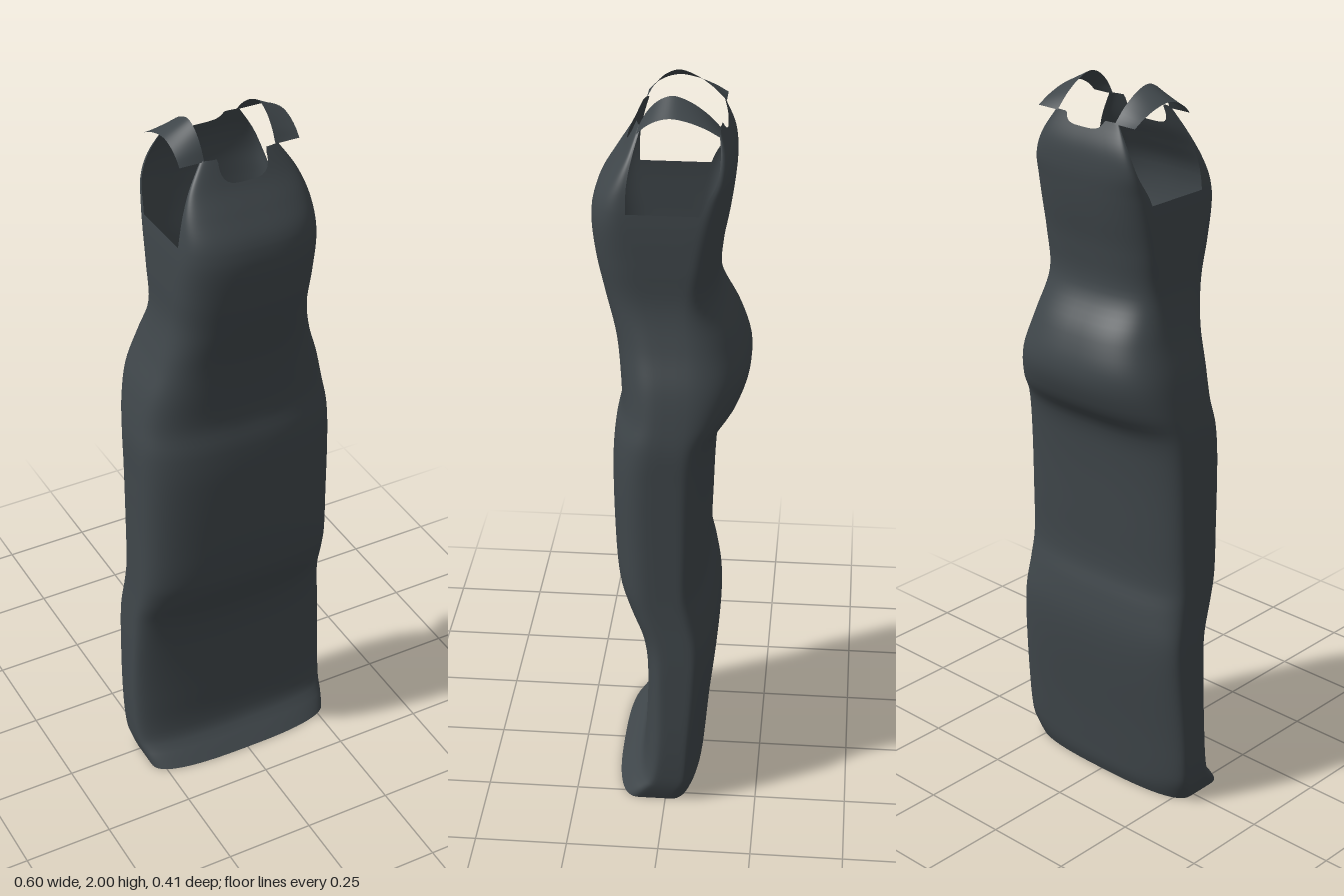
import * as THREE from 'three';

// Body sections: y, half width, front z, side front z, side back z, back z
const ROWS = [
  [0.00, 0.280, 0.142, 0.07, -0.01, -0.078],
  [0.03, 0.290, 0.115, 0.05, -0.02, -0.088],
  [0.07, 0.298, 0.080, 0.02, -0.04, -0.092],
  [0.20, 0.302, 0.066, 0.00, -0.05, -0.104],
  [0.40, 0.296, 0.063, 0.00, -0.06, -0.126],
  [0.50, 0.291, 0.080, 0.00, -0.06, -0.129],
  [0.59, 0.286, 0.118, 0.02, -0.04, -0.117],
  [0.66, 0.284, 0.141, 0.03, -0.03, -0.102],
  [0.80, 0.282, 0.152, 0.03, -0.03, -0.104],
  [1.00, 0.281, 0.155, 0.03, -0.03, -0.114],
  [1.10, 0.280, 0.147, 0.02, -0.03, -0.132],
  [1.17, 0.270, 0.132, 0.01, -0.03, -0.180],
  [1.26, 0.250, 0.135, 0.01, -0.03, -0.206],
  [1.36, 0.217, 0.147, 0.02, -0.03, -0.180],
  [1.47, 0.192, 0.175, 0.04, -0.03, -0.125],
  [1.58, 0.190, 0.198, 0.07, -0.05, -0.128],
  [1.68, 0.188, 0.206, 0.10, -0.07, -0.146],
  [1.74, 0.183, 0.193, 0.105, -0.09, -0.155],
  [1.80, 0.171, 0.157, 0.102, -0.12, -0.160],
  [1.86, 0.147, 0.118, 0.090, -0.128, -0.154],
  [1.93, 0.102, 0.085, 0.070, -0.120, -0.125],
];
const ARMHOLE = 1.72;

// Smooth interpolation of the section table at height y
function section(y) {
  let i = 0;
  while (i < ROWS.length - 2 && y > ROWS[i + 1][0]) i++;
  const a = ROWS[i], b = ROWS[i + 1];
  const p = ROWS[Math.max(i - 1, 0)], q = ROWS[Math.min(i + 2, ROWS.length - 1)];
  const h = b[0] - a[0], t = (y - a[0]) / h, t2 = t * t, t3 = t2 * t;
  return a.map((v, k) => {
    const m0 = (b[k] - p[k]) / (b[0] - p[0]) * h;
    const m1 = (q[k] - a[k]) / (q[0] - a[0]) * h;
    return (2 * t3 - 3 * t2 + 1) * v + (t3 - 2 * t2 + t) * m0 + (3 * t2 - 2 * t3) * b[k] + (t3 - t2) * m1;
  });
}

// Grid surface from a point rule; keep(i, j) tells which cells exist
function surface(cols, rows, closed, point, keep = () => true) {
  const pos = [], index = [], stride = closed ? cols : cols + 1;
  for (let j = 0; j <= rows; j++)
    for (let i = 0; i < stride; i++) pos.push(...point(i, j));
  for (let j = 0; j < rows; j++)
    for (let i = 0; i < cols; i++) {
      if (!keep(i, j)) continue;
      const i2 = closed ? (i + 1) % cols : i + 1;
      const a = j * stride + i, b = j * stride + i2, c = b + stride, d = a + stride;
      index.push(a, b, c, a, c, d);
    }
  const g = new THREE.BufferGeometry();
  g.setAttribute('position', new THREE.Float32BufferAttribute(pos, 3));
  g.setIndex(index);
  g.computeVertexNormals();
  return g;
}

export function createModel() {
  const group = new THREE.Group();
  const cloth = new THREE.MeshStandardMaterial({ color: 0x3f464a, side: THREE.DoubleSide });
  cloth.name = 'charcoal cloth';

  // Gown: front curve, left side, back curve, right side; sides stop at the armholes
  const N = 48, M = 6, LOW = 90, HIGH = 18, E = 2 / 2.7;
  const neck = (s, depth) => 1.925 - depth * Math.max(0, 1 - (Math.abs(s) / 0.62) ** 4);
  const gownPoint = (i, j) => {
    const back = i >= N + M;
    const k = back ? i - N - M : i;
    const onCurve = k <= N;
    const angle = Math.PI * (1 - Math.min(k, N) / N);
    const c = Math.cos(angle);
    const s = Math.sign(c) * Math.abs(c) ** E;
    const bulge = Math.abs(Math.sin(angle)) ** E;
    const top = neck(s, back ? 0.025 : 0.06);
    const y = j <= LOW ? ARMHOLE * j / LOW : THREE.MathUtils.lerp(ARMHOLE, top, (j - LOW) / HIGH);
    const [, w, zf, sf, sb, zb] = section(y);
    const dir = back ? -1 : 1;
    const from = back ? sb : sf, to = back ? sf : sb, far = back ? zb : zf;
    const z = onCurve ? from + (far - from) * bulge : THREE.MathUtils.lerp(from, to, (k - N) / M);
    return [dir * w * (onCurve ? s : 1), y, z];
  };
  const gown = new THREE.Mesh(
    surface(2 * (N + M), LOW + HIGH, true, gownPoint, (i, j) => j < LOW || i % (N + M) < N), cloth);
  gown.name = 'gown';
  group.add(gown);

  // Shoulder straps: arched ribbons sloping down towards the arm
  const arch = new THREE.CatmullRomCurve3([
    [1.922, 0.078], [1.958, 0.058], [1.988, 0.028], [2.0, -0.005],
    [1.988, -0.045], [1.958, -0.09], [1.922, -0.126],
  ].map(([y, z]) => new THREE.Vector3(0, y, z)));
  for (const side of [1, -1]) {
    const strap = new THREE.Mesh(surface(6, 28, false, (i, j) => {
      const p = arch.getPoint(j / 28), t = i / 6;
      const across = side > 0 ? t : 1 - t;
      return [side * (0.098 + 0.067 * across), p.y - 0.45 * across * (p.y - 1.922), p.z];
    }), cloth);
    strap.name = side > 0 ? 'leftStrap' : 'rightStrap';
    group.add(strap);
  }
  return group;
}
